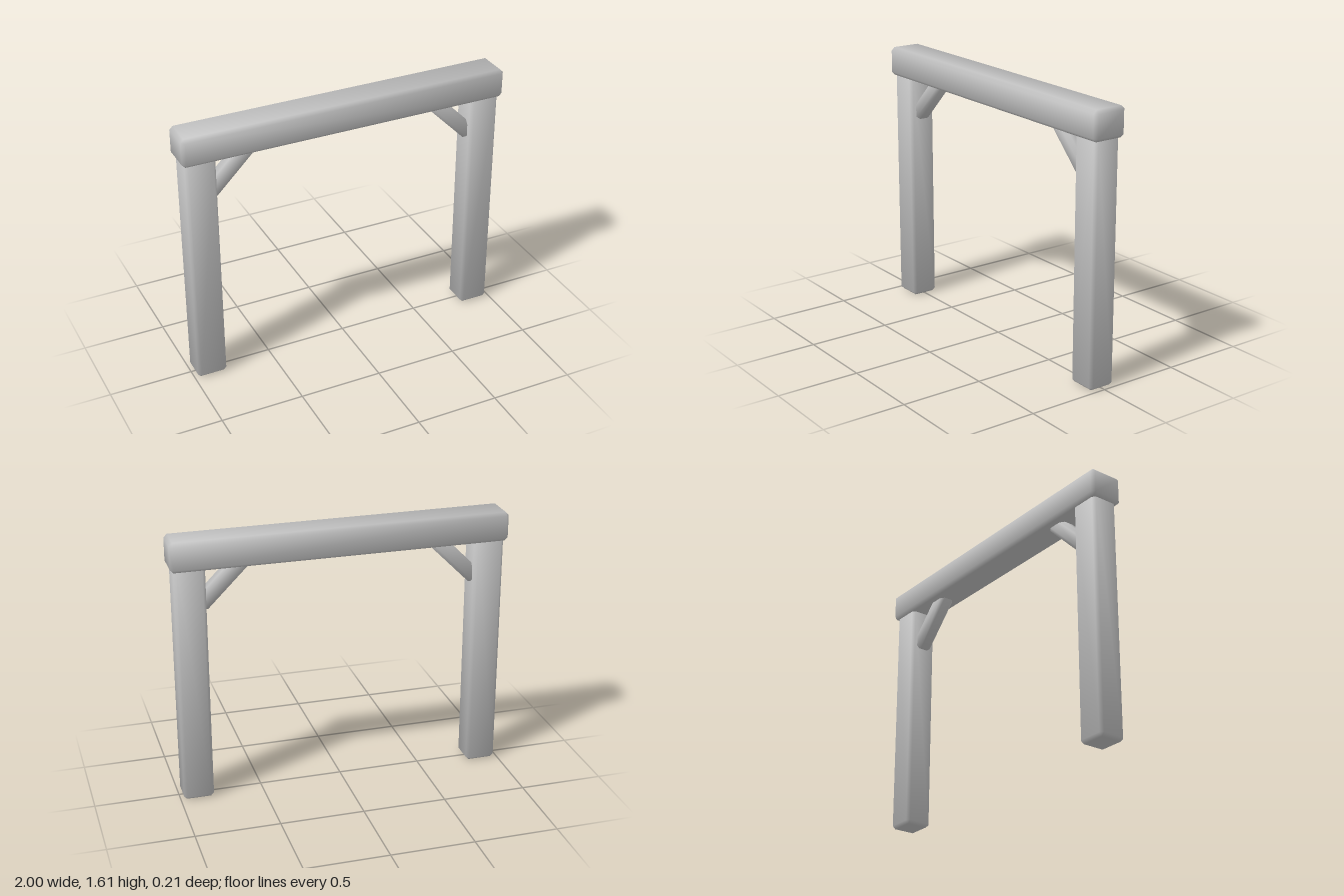
import * as THREE from 'three';
import { ConvexGeometry } from 'three/addons/geometries/ConvexGeometry.js';

// Box with chamfered edges and softly blended normals
function softBox(w, h, d, bevel) {
  const half = [w / 2, h / 2, d / 2];
  const points = [];
  for (let axis = 0; axis < 3; axis++)
    for (const sx of [-1, 1]) for (const sy of [-1, 1]) for (const sz of [-1, 1]) {
      const p = [sx, sy, sz].map((s, i) => s * (half[i] - (i === axis ? 0 : bevel)));
      points.push(new THREE.Vector3(...p));
    }
  const geometry = new ConvexGeometry(points);
  const pos = geometry.attributes.position;
  const normal = geometry.attributes.normal;
  for (let i = 0; i < pos.count; i++) {
    // Each corner point leans mostly towards the face it lies on
    const n = [pos.getX(i), pos.getY(i), pos.getZ(i)].map((v, k) =>
      Math.sign(v) * (half[k] - Math.abs(v) < bevel / 2 ? 0.86 : 0.36));
    normal.setXYZ(i, ...n);
  }
  return geometry;
}

export function createModel() {
  const group = new THREE.Group();
  const grey = new THREE.MeshStandardMaterial({ color: 0xc0c0c0 });
  grey.name = 'plain grey';

  const add = (name, geometry, x, y, angle = 0) => {
    const mesh = new THREE.Mesh(geometry, grey);
    mesh.name = name;
    mesh.position.set(x, y, 0);
    mesh.rotation.z = angle;
    group.add(mesh);
  };

  // Top beam
  add('beam', softBox(2, 0.175, 0.21, 0.02), 0, 1.522);

  // Posts and diagonal braces, mirrored
  const post = softBox(0.18, 1.46, 0.166, 0.018);
  const brace = softBox(0.41, 0.095, 0.095, 0.02);
  for (const [side, s] of [['left', 1], ['right', -1]]) {
    add(side + 'Post', post, s * 0.89, 0.73);
    add(side + 'Brace', brace, s * 0.686, 1.344, -s * Math.PI / 4);
  }
  return group;
}
